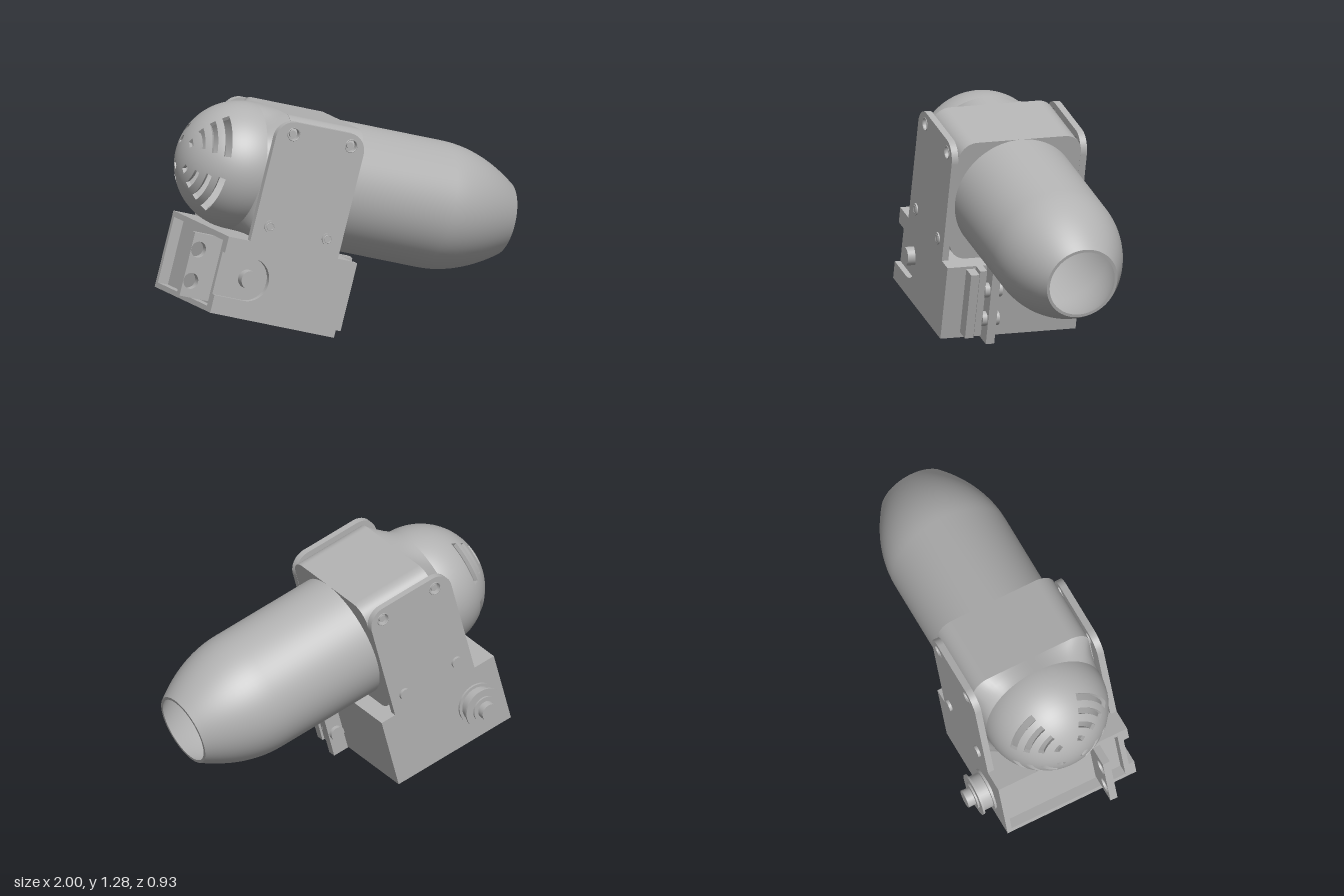
import * as THREE from 'three';
import { toCreasedNormals } from 'three/addons/utils/BufferGeometryUtils.js';

const grey = new THREE.MeshStandardMaterial({ color: 0xb2b2b2, side: THREE.DoubleSide });
grey.name = 'plain grey';

const AXIS_T = 0.753, AXIS_Z = 0.06, R = 0.345, DOME_S = -0.79;

export function createModel() {
  const model = new THREE.Group();
  model.name = 'tiltedLamp';
  const body = new THREE.Group(); // built level along x, then tipped nose down
  body.name = 'tiltedBody';
  body.rotation.z = -Math.PI / 12;
  model.add(body);

  const add = (name, geo, x = 0, y = 0, z = 0) => {
    const m = new THREE.Mesh(geo, grey);
    m.name = name;
    m.position.set(x, y, z);
    body.add(m);
    return m;
  };
  // box given by its limits
  const block = (name, x0, x1, y0, y1, z0, z1) =>
    add(name, new THREE.BoxGeometry(x1 - x0, y1 - y0, z1 - z0), (x0 + x1) / 2, (y0 + y1) / 2, (z0 + z1) / 2);
  // cylinder lying along z
  const disc = (name, r, x, y, z0, z1) =>
    add(name, new THREE.CylinderGeometry(r, r, z1 - z0, 40).rotateX(Math.PI / 2), x, y, (z0 + z1) / 2);
  const slab = (name, shape, z0, z1) =>
    add(name, new THREE.ExtrudeGeometry(shape, { depth: z1 - z0, bevelEnabled: false, curveSegments: 20 }), 0, 0, z0);
  const hole = (shape, x, y, r) => shape.holes.push(new THREE.Path().absarc(x, y, r, 0, Math.PI * 2, true));

  // ---- barrel: hollow tube with a tapering nose
  const nose = (s) => R - 0.78 * Math.max(0, s - 0.35) ** 2;
  const stations = [DOME_S, 0.35];
  for (let i = 1; i <= 12; i++) stations.push(0.35 + (0.43 * i) / 12);
  const outer = stations.map((s) => new THREE.Vector2(nose(s), s));
  const inner = stations.map((s) => new THREE.Vector2(nose(s) - 0.016, s)).reverse();
  add('barrel', toCreasedNormals(new THREE.LatheGeometry([...outer, ...inner], 80).rotateZ(-Math.PI / 2), 0.5), 0, AXIS_T, AXIS_Z);
  // inner collar and post
  add('innerCollar', new THREE.RingGeometry(0.24, 0.33, 64).rotateY(Math.PI / 2), -0.2, AXIS_T, AXIS_Z);
  add('innerPost', new THREE.CylinderGeometry(0.035, 0.035, 0.1, 24), -0.15, 1.0, AXIS_Z);

  // ---- vented dome
  add('ventedDome', domeGeometry(), DOME_S, AXIS_T, AXIS_Z);

  // ---- square housing around the barrel, blended to round behind
  const half = 0.35, round = 0.1;
  const sq = roundedRect(-half, half, -R, R, round, round);
  hole(sq, 0, 0, R - 0.01);
  add('housing', new THREE.ExtrudeGeometry(sq, { depth: 0.432, bevelEnabled: false, curveSegments: 16 }).rotateY(Math.PI / 2), -0.7, AXIS_T, AXIS_Z);
  const squareRadius = (a) => {
    const c = Math.abs(Math.cos(a)), s = Math.abs(Math.sin(a)), k = R - round;
    const flat = R / Math.max(c, s);
    if (flat * Math.min(c, s) <= k) return flat;
    const b = k * (c + s);
    return b + Math.sqrt(b * b - 2 * k * k + round * round);
  };
  const blend = new THREE.CylinderGeometry(R, R, 0.09, 120, 4, true);
  const p = blend.attributes.position;
  for (let i = 0; i < p.count; i++) {
    const a = Math.atan2(p.getZ(i), p.getX(i));
    const t = p.getY(i) / 0.09 + 0.5;
    const r = R + (squareRadius(a) - R) * t;
    p.setX(i, r * Math.cos(a));
    p.setZ(i, r * Math.sin(a));
  }
  blend.computeVertexNormals();
  add('housingBlend', blend.rotateZ(-Math.PI / 2), -0.745, AXIS_T, AXIS_Z);

  // ---- side plates with four screws each
  const screws = [[-0.693, 1.012], [-0.35, 1.012], [-0.7, 0.502], [-0.355, 0.498]];
  for (const [side, z0, z1] of [['left', 0.41, 0.447], ['right', -0.325, -0.288]]) {
    const plate = roundedRect(-0.792, -0.267, 0.39, 1.078, 0.1, 0);
    screws.slice(0, 2).forEach(([x, y]) => hole(plate, x, y, 0.034));
    slab(side + 'SidePlate', plate, z0, z1);
    const out = side === 'left' ? 1 : -1, face = out > 0 ? z1 : z0;
    screws.forEach(([x, y], i) => {
      const z = face + out * (i < 2 ? -0.018 : 0.004); // top pair sunk, lower pair proud
      disc(side + 'Screw', i < 2 ? 0.018 : 0.033, x, y, z - 0.012, z + 0.004);
      add(side + 'ScrewRim', new THREE.TorusGeometry(i < 2 ? 0.034 : 0.02, 0.003, 6, 32), x, y, i < 2 ? face : z + out * 0.003);
    });
  }

  // ---- base box with a framed recess at the back
  const B0 = -0.92, B1 = -0.178, T0 = -0.016, T1 = 0.405, ZR = -0.325, ZL = 0.447;
  block('baseBox', -0.86, B1, T0, T1, ZR, 0.415);
  block('backFrameBottom', B0, -0.86, T0, 0.012, ZR, 0.415);
  block('backFrameTop', B0, -0.86, 0.375, T1, ZR, 0.415);
  block('backFrameRight', B0, -0.86, T0, T1, ZR, -0.297);
  block('backFrameLeft', B0, -0.86, T0, T1, 0.385, 0.415);
  // left wall with a U slot for the pivot
  const PX = -0.745, PY = 0.199, PR = 0.117;
  const wall = new THREE.Shape();
  wall.moveTo(B0, T0);
  wall.lineTo(B1, T0);
  wall.lineTo(B1, T1);
  wall.lineTo(B0, T1);
  wall.lineTo(B0, PY + PR);
  wall.lineTo(PX, PY + PR);
  wall.absarc(PX, PY, PR, Math.PI / 2, -Math.PI / 2, true);
  wall.lineTo(B0, PY - PR);
  slab('slottedWall', wall, 0.415, ZL);
  disc('pivotPin', 0.05, PX, PY, 0.4, 0.465);

  // ---- pulley on the right side
  const pulley = [[0.045, -0.325], [0.07, -0.335], [0.117, -0.347], [0.1, -0.405], [0.118, -0.416], [0.075, -0.426], [0.05, -0.469]];
  pulley.slice(1).forEach(([r, z], i) => disc('pulley', r, PX, PY, z, pulley[i][1]));

  // ---- rear mounting ear with two holes
  const ear = roundedRect(-1.042, -0.85, 0.025, 0.375, 0, 0);
  hole(ear, -0.998, 0.287, 0.043);
  hole(ear, -0.998, 0.114, 0.043);
  slab('rearEar', ear, 0.237, 0.279);

  // ---- front tab, servo case slabs and bolts
  block('frontTab', -0.2, -0.087, -0.022, T1, 0.172, 0.22);
  block('caseSlabOuter', -0.2, -0.1, 0.015, 0.39, 0.29, 0.338);
  block('caseSlabInner', -0.2, -0.11, 0.02, T1, 0.245, 0.284);
  for (const y of [0.11, 0.28]) disc('tabBolt', 0.04, -0.133, y, 0.15, 0.248);

  return model;
}

// rectangle with separate top and bottom corner radii
function roundedRect(x0, x1, y0, y1, rt, rb) {
  const s = new THREE.Shape();
  s.moveTo(x0 + rb, y0);
  s.lineTo(x1 - rb, y0);
  if (rb) s.absarc(x1 - rb, y0 + rb, rb, -Math.PI / 2, 0, false);
  s.lineTo(x1, y1 - rt);
  if (rt) s.absarc(x1 - rt, y1 - rt, rt, 0, Math.PI / 2, false);
  s.lineTo(x0 + rt, y1);
  if (rt) s.absarc(x0 + rt, y1 - rt, rt, Math.PI / 2, Math.PI, false);
  s.lineTo(x0, y0 + rb);
  if (rb) s.absarc(x0 + rb, y0 + rb, rb, Math.PI, Math.PI * 1.5, false);
  return s;
}

// hemispherical shell facing -x, with arc slots in each quadrant
function domeGeometry() {
  const rad = Math.PI / 180, RI = R - 0.022, STEP = 3;
  const rings = [0, 4, 8, 12, 14, 19, 23, 27, 32.5, 36, 39.5, 45, 48, 51.5, 58, 62, 66, 70, 74, 78, 82, 86, 90];
  const slots = { 14: [33, 60], 27: [21, 63], 39.5: [15, 63], 51.5: [12, 63] };
  const open = (i, a) => {
    const span = slots[rings[i]];
    if (!span) return false;
    const q = ((a % 180) + 180) % 180, m = q < 90 ? q : 180 - STEP - q;
    return m >= span[0] && m < span[1];
  };
  const pos = [], nor = [];
  const dir = (t, a) => new THREE.Vector3(-Math.cos(t * rad), Math.sin(t * rad) * Math.sin(a * rad), Math.sin(t * rad) * Math.cos(a * rad));
  const quad = (c, n) => [0, 1, 2, 0, 2, 3].forEach((k) => {
    pos.push(...c[k].toArray());
    nor.push(...n[k].toArray());
  });
  // wall joining outer and inner shells along one slot edge
  const edge = (u, v) => {
    const c = [u.clone().multiplyScalar(R), v.clone().multiplyScalar(R), v.clone().multiplyScalar(RI), u.clone().multiplyScalar(RI)];
    const n = v.clone().cross(u).normalize();
    quad(c, [n, n, n, n].map((x) => x.clone().negate()));
  };
  for (let i = 0; i < rings.length - 1; i++) {
    for (let a = 0; a < 360; a += STEP) {
      const t0 = rings[i], t1 = rings[i + 1], b = a + STEP;
      const d = [dir(t0, a), dir(t0, b), dir(t1, b), dir(t1, a)];
      if (open(i, a)) {
        edge(d[1], d[0]);
        edge(d[3], d[2]);
        if (!open(i, a - STEP)) edge(d[0], d[3]);
        if (!open(i, b)) edge(d[2], d[1]);
        continue;
      }
      const o = [d[0], d[3], d[2], d[1]];
      quad(o.map((v) => v.clone().multiplyScalar(R)), o);
      quad(d.map((v) => v.clone().multiplyScalar(RI)), d.map((v) => v.clone().negate()));
    }
  }
  // make every face wind the way its normal points
  const A = new THREE.Vector3(), B = new THREE.Vector3(), C = new THREE.Vector3(), N = new THREE.Vector3();
  for (let k = 0; k < pos.length; k += 9) {
    A.fromArray(pos, k); B.fromArray(pos, k + 3); C.fromArray(pos, k + 6); N.fromArray(nor, k);
    if (B.clone().sub(A).cross(C.clone().sub(A)).dot(N) < 0) {
      const nb = nor.slice(k + 3, k + 6), nc = nor.slice(k + 6, k + 9);
      C.toArray(pos, k + 3); B.toArray(pos, k + 6);
      for (let j = 0; j < 3; j++) { nor[k + 3 + j] = nc[j]; nor[k + 6 + j] = nb[j]; }
    }
  }
  const g = new THREE.BufferGeometry();
  g.setAttribute('position', new THREE.Float32BufferAttribute(pos, 3));
  g.setAttribute('normal', new THREE.Float32BufferAttribute(nor, 3));
  return g;
}
